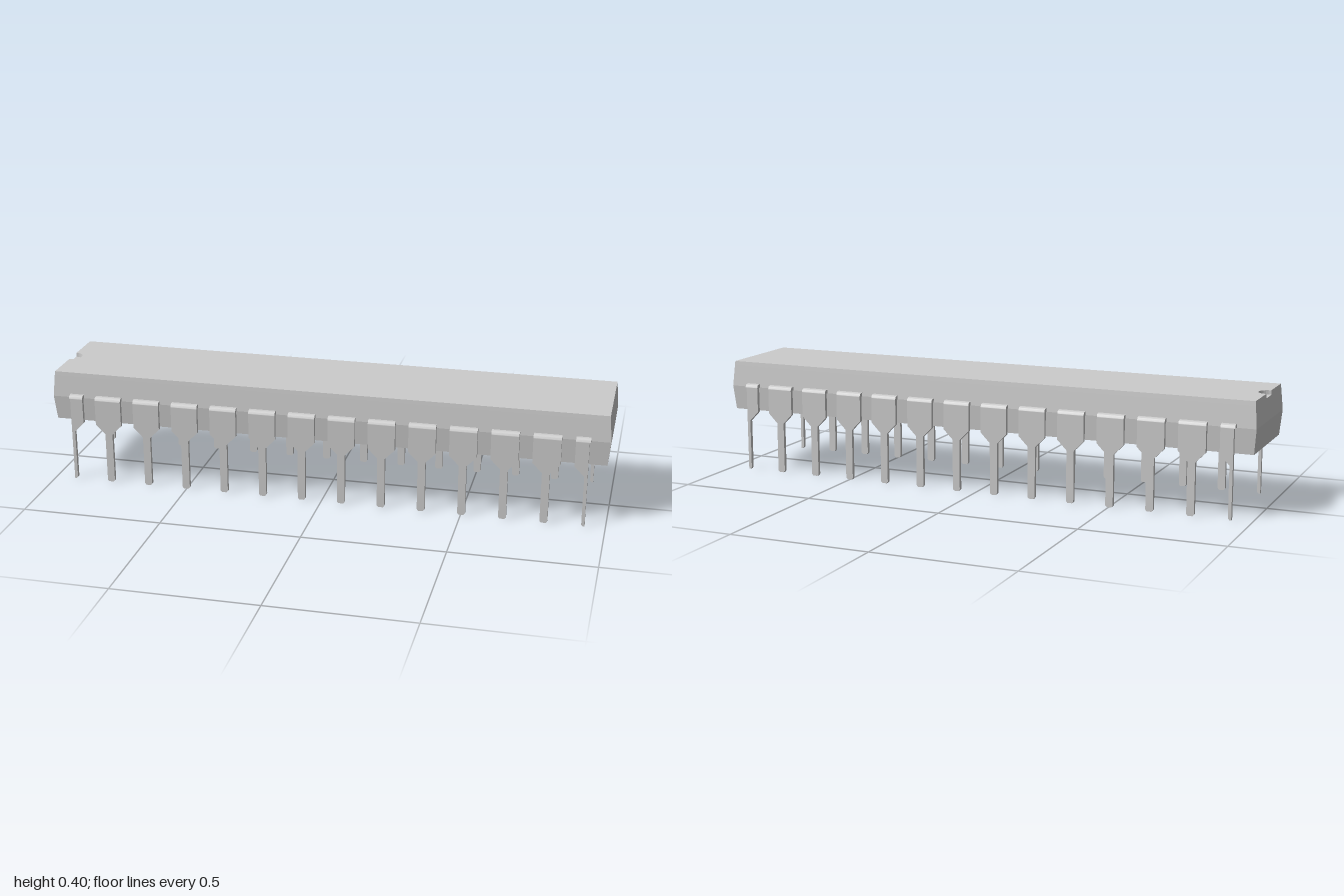
import * as THREE from 'three';
import { mergeGeometries, toCreasedNormals } from 'three/addons/utils/BufferGeometryUtils.js';

const grey = new THREE.MeshStandardMaterial({ color: 0xcccccc });
const PITCH = 0.1433, PINS = 14;
const THICK = 0.013, OUTER = 0.2, BEND_Y = 0.31;

// Body: stacked rings, widest at the parting line, with a half-round key notch at the -x end
function bodyGeometry() {
  const R = 0.035, SEG = 12;
  const ring = (y, hx, hz, notched) => {
    const pts = [[-hx, hz], [hx, hz], [hx, -hz], [-hx, -hz]];
    for (let i = 0; i <= SEG; i++) {
      const a = -Math.PI / 2 + (Math.PI * i) / SEG;
      pts.push([-hx + (notched ? R * Math.cos(a) : 0), R * Math.sin(a)]);
    }
    return pts.map(([x, z]) => new THREE.Vector3(x, y, z));
  };
  const rings = [
    ring(0.222, 0.992, 0.173, false),
    ring(0.31, 1, 0.181, false),
    ring(0.387, 0.9935, 0.1745, false),
    ring(0.387, 0.9935, 0.1745, true),
    ring(0.402, 0.992, 0.173, true),
  ];
  const pos = [];
  const tri = (...v) => v.forEach((p) => pos.push(p.x, p.y, p.z));
  for (let r = 0; r < rings.length - 1; r++) {
    const lo = rings[r], hi = rings[r + 1], n = lo.length;
    for (let i = 0; i < n; i++) {
      const j = (i + 1) % n;
      // The two notch-floor rings only differ along the notch itself
      if (r === 2 && (i < 4 || j === 0)) continue;
      tri(lo[i], lo[j], hi[j]);
      tri(lo[i], hi[j], hi[i]);
    }
  }
  // Flat caps
  const cap = (pts, up) => {
    const flat = pts.map((p) => new THREE.Vector2(p.x, -p.z));
    for (const [a, b, c] of THREE.ShapeUtils.triangulateShape(flat, [])) {
      if (up) tri(pts[a], pts[b], pts[c]);
      else tri(pts[a], pts[c], pts[b]);
    }
  };
  cap(rings[0].slice(0, 4), false);
  cap(rings[rings.length - 1], true);
  const geo = new THREE.BufferGeometry();
  geo.setAttribute('position', new THREE.Float32BufferAttribute(pos, 3));
  geo.computeVertexNormals();
  return geo;
}

// Lead on the +z side; left and right say which halves of its width exist
function leadGeometry(left, right) {
  const wide = 0.048, stem = 0.0135, tip = 0.0085;
  const half = [[tip, 0], [stem, 0.006], [stem, 0.185], [wide, 0.22], [wide, BEND_Y]];
  const edge = (on, s) => half.map(([x, y]) => new THREE.Vector2(on ? s * x : -s * 0.002, y));
  const outline = new THREE.Shape([...edge(right, 1), ...edge(left, -1).reverse()]);
  const blade = new THREE.ExtrudeGeometry(outline, { depth: THICK, bevelEnabled: false });
  blade.translate(0, 0, OUTER - THICK);

  // Rounded bend running into the body
  const side = new THREE.Shape();
  side.moveTo(0.17, BEND_Y);
  side.lineTo(OUTER, BEND_Y);
  side.absarc(OUTER - THICK, BEND_Y, THICK, 0, Math.PI / 2, false);
  side.lineTo(0.17, BEND_Y + THICK);
  const x0 = left ? -wide : -0.002, x1 = right ? wide : 0.002;
  const bend = new THREE.ExtrudeGeometry(side, { depth: x1 - x0, bevelEnabled: false, curveSegments: 8 });
  bend.rotateY(-Math.PI / 2).translate(x1, 0, 0);
  return mergeGeometries([toCreasedNormals(blade, 0.5), toCreasedNormals(bend, 0.5)]);
}

export function createModel() {
  const model = new THREE.Group();
  model.name = 'dualInlineChip';

  const body = new THREE.Mesh(bodyGeometry(), grey);
  body.name = 'body';
  model.add(body);

  // Full leads inside each row, half-width leads at its ends
  const full = leadGeometry(true, true);
  const first = leadGeometry(false, true);
  const last = leadGeometry(true, false);
  for (const name of ['frontLeads', 'backLeads']) {
    const row = new THREE.Group();
    row.name = name;
    for (let i = 0; i < PINS; i++) {
      const lead = new THREE.Mesh(i === 0 ? first : i === PINS - 1 ? last : full, grey);
      lead.name = `lead${i + 1}`;
      lead.position.x = (i - (PINS - 1) / 2) * PITCH;
      row.add(lead);
    }
    if (name === 'backLeads') row.rotation.y = Math.PI;
    model.add(row);
  }
  return model;
}
